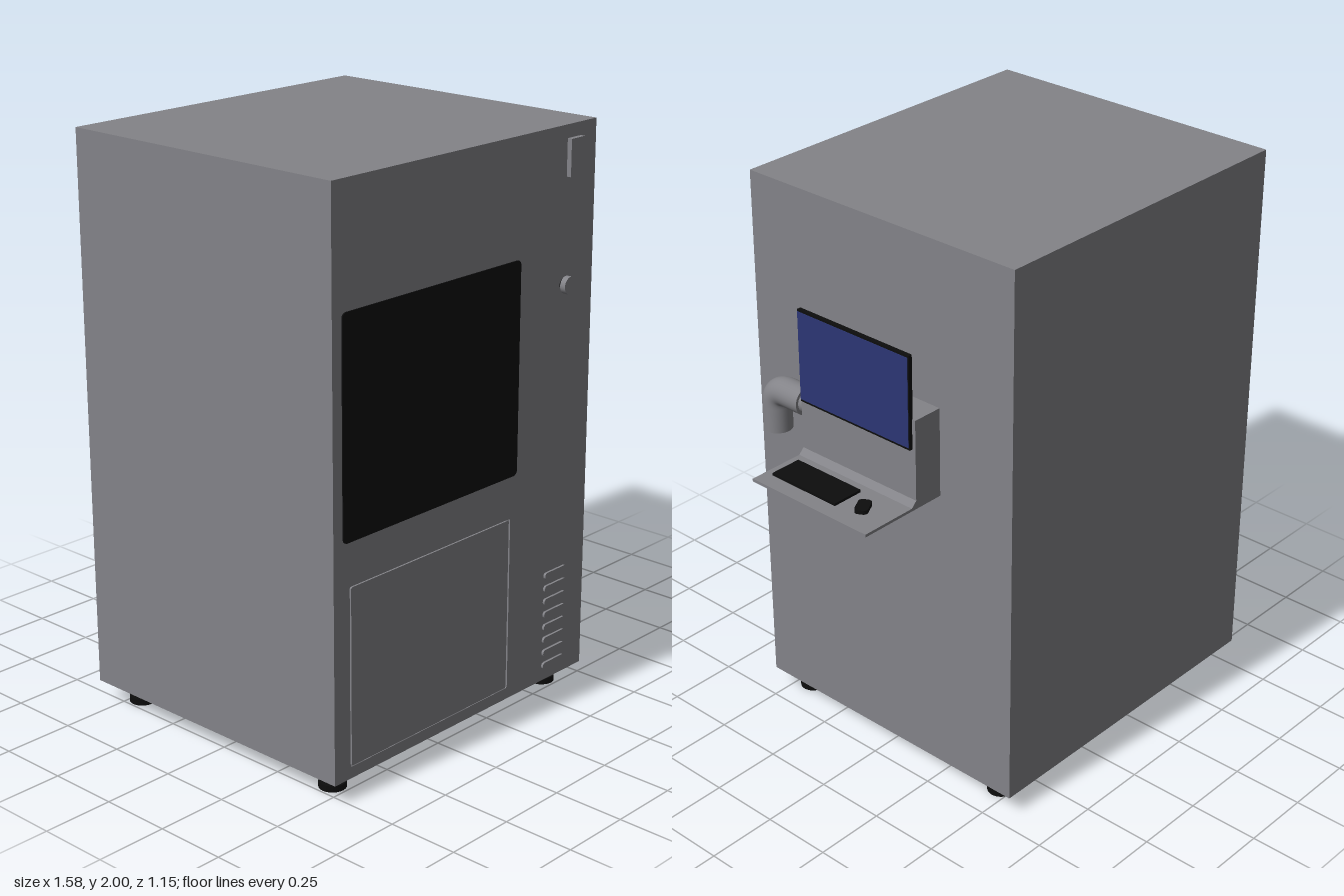
import * as THREE from 'three';

const grey = new THREE.MeshStandardMaterial({ color: 0x838388 });
grey.name = 'cabinet grey';
const black = new THREE.MeshStandardMaterial({ color: 0x0d0d0d });
black.name = 'black';
const blue = new THREE.MeshStandardMaterial({ color: 0x2c3674 });
blue.name = 'screen blue';

const FRONT = 0.545, BACK = -0.575, LEFT = 0.45, RIGHT = -0.79, BOTTOM = 0.07, TOP = 2;

export function createModel() {
  const model = new THREE.Group();
  model.name = 'machineCabinet';

  const add = (name, geometry, material, x = 0, y = 0, z = 0) => {
    const mesh = new THREE.Mesh(geometry, material);
    mesh.name = name;
    mesh.position.set(x, y, z);
    model.add(mesh);
    return mesh;
  };
  // Box given by its limits on each axis
  const box = (name, material, [x0, x1], [y0, y1], [z0, z1]) =>
    add(name, new THREE.BoxGeometry(x1 - x0, y1 - y0, z1 - z0), material,
      (x0 + x1) / 2, (y0 + y1) / 2, (z0 + z1) / 2);
  // Rounded rectangle given by its limits
  const roundRect = (x0, x1, y0, y1, r, Type = THREE.Shape) => {
    const s = new Type();
    s.absarc(x1 - r, y0 + r, r, -Math.PI / 2, 0);
    s.absarc(x1 - r, y1 - r, r, 0, Math.PI / 2);
    s.absarc(x0 + r, y1 - r, r, Math.PI / 2, Math.PI);
    s.absarc(x0 + r, y0 + r, r, Math.PI, Math.PI * 1.5);
    s.closePath();
    return s;
  };
  const extrude = (shape, depth) =>
    new THREE.ExtrudeGeometry(shape, { depth, bevelEnabled: false, curveSegments: 8 });

  // Cabinet body, with a front skin that leaves a groove around the lower door
  const skin = 0.006;
  box('cabinetBody', grey, [RIGHT, LEFT], [BOTTOM, TOP], [BACK, FRONT - skin]);
  const face = new THREE.Shape([
    new THREE.Vector2(RIGHT, BOTTOM), new THREE.Vector2(LEFT, BOTTOM),
    new THREE.Vector2(LEFT, TOP), new THREE.Vector2(RIGHT, TOP),
  ]);
  face.holes.push(roundRect(-0.72, 0.05, 0.11, 0.727, 0.01, THREE.Path));
  add('frontPanel', extrude(face, skin), grey, 0, 0, FRONT - skin);
  add('lowerDoor', extrude(roundRect(-0.713, 0.043, 0.112, 0.72, 0.006), skin), grey, 0, 0, FRONT - skin);

  // Viewing window
  add('window', extrude(roundRect(-0.75, 0.075, 0.872, 1.6, 0.018), 0.004), black, 0, 0, FRONT);

  // Ventilation louvres
  for (let i = 0; i < 8; i++) {
    const y = 0.125 + i * 0.0477;
    add('ventLouvre', extrude(roundRect(0.235, 0.35, y - 0.012, y + 0.012, 0.011), 0.008), grey, 0, 0, FRONT);
  }

  // Door handle plate and round knob
  box('handle', grey, [0.302, 0.37], [1.83, 1.955], [FRONT, 0.562]);
  const knob = add('knob', new THREE.CylinderGeometry(0.03, 0.03, 0.02, 32), grey, 0.3, 1.473, 0.565);
  knob.rotation.x = Math.PI / 2;
  const knobNeck = add('knobNeck', new THREE.CylinderGeometry(0.02, 0.02, 0.012, 24), black, 0.3, 1.473, 0.55);
  knobNeck.rotation.x = Math.PI / 2;

  // Levelling feet
  for (const x of [-0.697, 0.362]) {
    for (const z of [0.445, -0.46]) {
      add('footPad', new THREE.CylinderGeometry(0.046, 0.046, 0.022, 24), black, x, 0.011, z);
      add('footStem', new THREE.CylinderGeometry(0.025, 0.025, 0.05, 20), black, x, 0.046, z);
    }
  }

  // Side console: housing and keyboard shelf in one profile
  const profile = new THREE.Shape([
    [LEFT, 1.12], [0.787, 1.12], [0.787, 1.13], [0.58, 1.13], [0.56, 1.15], [0.56, 1.435], [LEFT, 1.435],
  ].map(([x, y]) => new THREE.Vector2(x, y)));
  add('consoleShelf', extrude(profile, 0.505), grey, 0, 0, -0.273);

  // Monitor, keyboard and mouse
  box('monitor', black, [0.557, 0.572], [1.33, 1.658], [-0.26, 0.222]);
  box('screen', blue, [0.572, 0.574], [1.338, 1.651], [-0.256, 0.22]);
  box('keyboard', black, [0.615, 0.73], [1.13, 1.139], [-0.083, 0.2]);
  const mouse = add('mouse', extrude(roundRect(-0.035, 0.035, -0.022, 0.022, 0.014), 0.014), black, 0.682, 1.13, -0.16);
  mouse.rotation.set(-Math.PI / 2, 0, 0.5);

  // Support arm: upright pipe, elbow and horizontal neck
  const ax = 0.508, ay = 1.29, az = 0.405, r = 0.05;
  const v = (y, z) => new THREE.Vector3(ax, y, z);
  const path = new THREE.CurvePath();
  path.add(new THREE.LineCurve3(v(1.142, az), v(ay - 0.06, az)));
  path.add(new THREE.QuadraticBezierCurve3(v(ay - 0.06, az), v(ay, az), v(ay, az - 0.06)));
  path.add(new THREE.LineCurve3(v(ay, az - 0.06), v(ay, 0.262)));
  add('armPipe', new THREE.TubeGeometry(path, 40, r, 28), grey);
  const lower = add('armLowerCap', new THREE.CircleGeometry(r, 28), grey, ax, 1.142, az);
  lower.rotation.x = Math.PI / 2;
  const end = add('armEndCap', new THREE.CircleGeometry(r, 28), grey, ax, ay, 0.262);
  end.rotation.y = Math.PI;
  const neck = add('armNeck', new THREE.CylinderGeometry(0.04, 0.04, 0.04, 28), grey, ax, ay, 0.247);
  neck.rotation.x = Math.PI / 2;

  // Wall plate behind the arm
  box('armWallPlate', grey, [LEFT, 0.46], [1.142, 1.25], [0.265, 0.46]);
  box('armWallBolt', black, [LEFT, 0.463], [1.245, 1.275], [0.456, 0.464]);

  return model;
}
